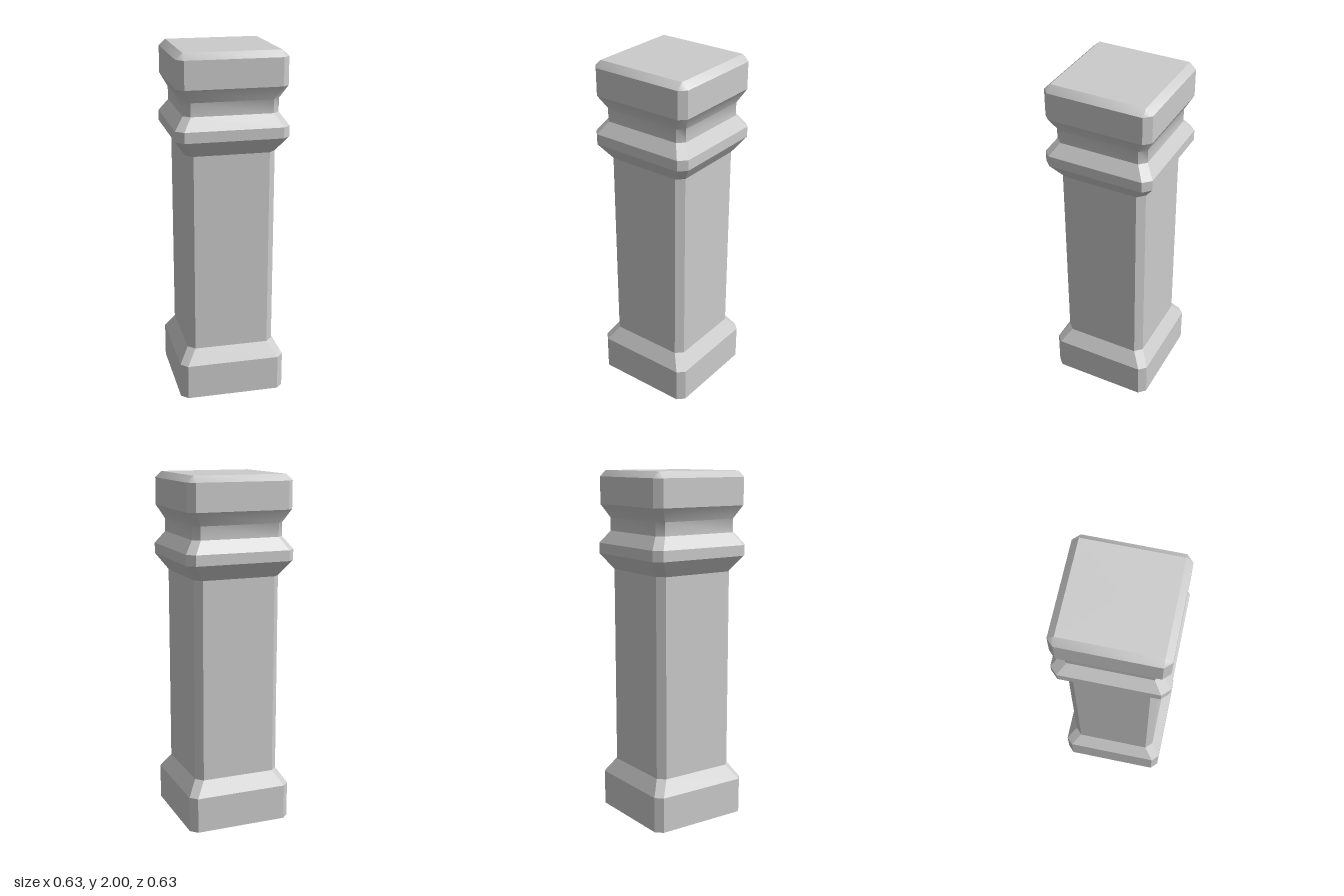
import * as THREE from 'three';
import { toCreasedNormals } from 'three/addons/utils/BufferGeometryUtils.js';

// Square ring with chamfered corners: h = half width, f = half length of the flat side
function ring([y, h, f]) {
  return [[h, -f], [h, f], [f, h], [-f, h], [-h, f], [-h, -f], [-f, -h], [f, -h]]
    .map(([x, z]) => new THREE.Vector3(x, y, z));
}

// Skin between successive rings, with an optional flat top
function loft(sections, crease, closedTop) {
  const rings = sections.map(ring);
  const points = [];
  const tri = (a, b, c) => {
    const area = b.clone().sub(a).cross(c.clone().sub(a)).length();
    if (area > 1e-8) points.push(a, b, c);
  };
  for (let r = 0; r < rings.length - 1; r++) {
    const lo = rings[r], hi = rings[r + 1];
    for (let i = 0; i < 8; i++) {
      const j = (i + 1) % 8;
      tri(lo[i], hi[i], hi[j]);
      tri(lo[i], hi[j], lo[j]);
    }
  }
  if (closedTop) {
    const top = rings[rings.length - 1];
    const centre = new THREE.Vector3(0, top[0].y, 0);
    for (let i = 0; i < 8; i++) tri(centre, top[(i + 1) % 8], top[i]);
  }
  const geometry = new THREE.BufferGeometry().setFromPoints(points);
  return toCreasedNormals(geometry, crease);
}

export function createModel() {
  const group = new THREE.Group();
  const stone = new THREE.MeshStandardMaterial({ color: 0xcccccc, side: THREE.DoubleSide });
  const add = (name, sections, crease = 0.5, closedTop = false) => {
    const mesh = new THREE.Mesh(loft(sections, crease, closedTop), stone);
    mesh.name = name;
    group.add(mesh);
  };

  // Hollow foot, open underneath, sloping in to the shaft
  add('plinth', [[0, 0.306, 0.268], [0.205, 0.306, 0.268], [0.29, 0.252, 0.213]]);
  add('shaft', [[0.29, 0.252, 0.213], [1.44, 0.252, 0.213]]);
  // Projecting band with sloped faces above and below
  add('collar', [[1.44, 0.252, 0.213], [1.53, 0.315, 0.273], [1.59, 0.315, 0.273], [1.66, 0.265, 0.228]]);
  // Softly curved hollow below the cap
  add('neck', [[1.66, 0.265, 0.228], [1.735, 0.265, 0.228], [1.81, 0.306, 0.268]], 0.7);
  // Cap with a bevelled rim running into a square top
  add('cap', [[1.81, 0.306, 0.268], [1.965, 0.306, 0.268], [2, 0.268, 0.268]], 0.65, true);

  return group;
}
